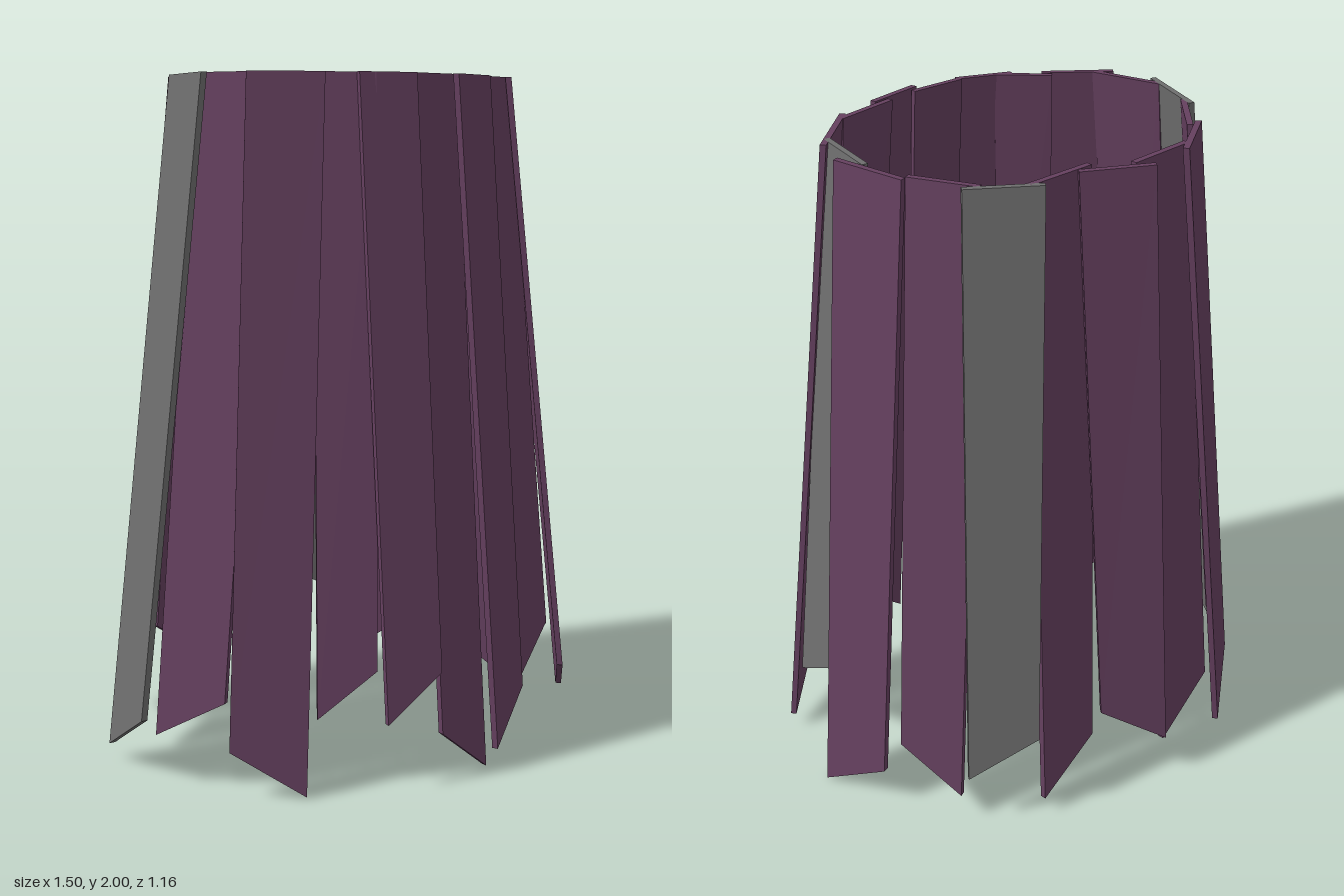
import * as THREE from 'three';

const THICKNESS = 0.018;
const LEAN = 0.11; // outward drift per unit of height
const TOP = 2;

// One row per plank, going round from +x towards +z:
// lower corner A (x, y, z), lower corner B (x, y, z), middle of the top edge (x, z)
const PLANKS = [
  [0.67, 0.39, -0.075, 0.705, 0.25, 0.14, 0.49, 0.03],
  [0.745, 0.05, 0.175, 0.595, 0.19, 0.365, 0.46, 0.19],
  [0.53, 0.34, 0.36, 0.355, 0.2, 0.45, 0.32, 0.295],
  [0.35, 0.2, 0.48, 0.2, 0.055, 0.56, 0.2, 0.375],
  [0.17, 0.005, 0.545, 0, 0.14, 0.565, 0.06, 0.385],
  [-0.015, 0.33, 0.58, -0.185, 0.2, 0.565, -0.095, 0.395],
  [-0.19, 0.345, 0.515, -0.345, 0.21, 0.445, -0.2, 0.35],
  [-0.4, 0.005, 0.48, -0.59, 0.14, 0.38, -0.355, 0.3],
  [-0.585, 0.27, 0.345, -0.715, 0.15, 0.17, -0.455, 0.19],
  [-0.75, 0.19, 0.15, -0.75, 0.05, -0.085, -0.512, 0.037],
  [-0.69, 0.18, -0.11, -0.585, 0.3, -0.285, -0.455, -0.13],
  [-0.6, 0.2, -0.33, -0.47, 0.06, -0.5, -0.375, -0.285],
  [-0.42, 0.26, -0.48, -0.225, 0.12, -0.555, -0.235, -0.35],
  [-0.215, 0.15, -0.585, -0.016, 0.28, -0.52, -0.085, -0.393],
  [0, 0.19, -0.5, 0.2, 0.06, -0.565, 0.075, -0.363],
  [0.225, 0.31, -0.57, 0.43, 0.19, -0.51, 0.235, -0.37],
  [0.44, 0.1, -0.475, 0.565, 0.235, -0.32, 0.35, -0.27],
  [0.62, 0.14, -0.31, 0.735, 0, -0.11, 0.485, -0.11],
];
const GREY_PLANKS = [0, 9, 15];

// Leaning plank with a level top and a slanted lower end
function plankGeometry([ax, ay, az, bx, by, bz, tx, tz]) {
  const a = new THREE.Vector3(ax, ay, az);
  const b = new THREE.Vector3(bx, by, bz);
  const along = new THREE.Vector3(bx - ax, 0, bz - az);
  const out = new THREE.Vector3(along.z, 0, -along.x).normalize();
  // the longer side has drifted further out, so take that skew off the top edge
  along.addScaledVector(out, -LEAN * (ay - by));
  const top = new THREE.Vector3(tx, TOP, tz).addScaledVector(out, THICKNESS);
  const outer = [
    a, b,
    top.clone().addScaledVector(along, 0.5),
    top.clone().addScaledVector(along, -0.5),
  ];
  const inner = outer.map((p) => p.clone().addScaledVector(out, -THICKNESS));
  const corners = [...outer, ...inner];

  const quads = [
    [1, 0, 3, 2], [4, 5, 6, 7], // outer and inner faces
    [2, 3, 7, 6], [0, 1, 5, 4], // top and lower ends
    [0, 4, 7, 3], [5, 1, 2, 6], // long edges
  ];
  const points = quads.flatMap(([p, q, r, s]) => [p, q, r, p, r, s].map((i) => corners[i]));
  const geometry = new THREE.BufferGeometry().setFromPoints(points);
  geometry.computeVertexNormals();
  return geometry;
}

export function createModel() {
  const purple = new THREE.MeshStandardMaterial({ color: 0x65405f });
  purple.name = 'plum';
  const grey = new THREE.MeshStandardMaterial({ color: 0x6e6e6e });
  grey.name = 'grey';

  const model = new THREE.Group();
  model.name = 'plankRing';
  PLANKS.forEach((row, i) => {
    const isGrey = GREY_PLANKS.includes(i);
    const plank = new THREE.Mesh(plankGeometry(row), isGrey ? grey : purple);
    plank.name = `${isGrey ? 'grey' : 'plum'}Plank${i + 1}`;
    model.add(plank);
  });
  return model;
}
